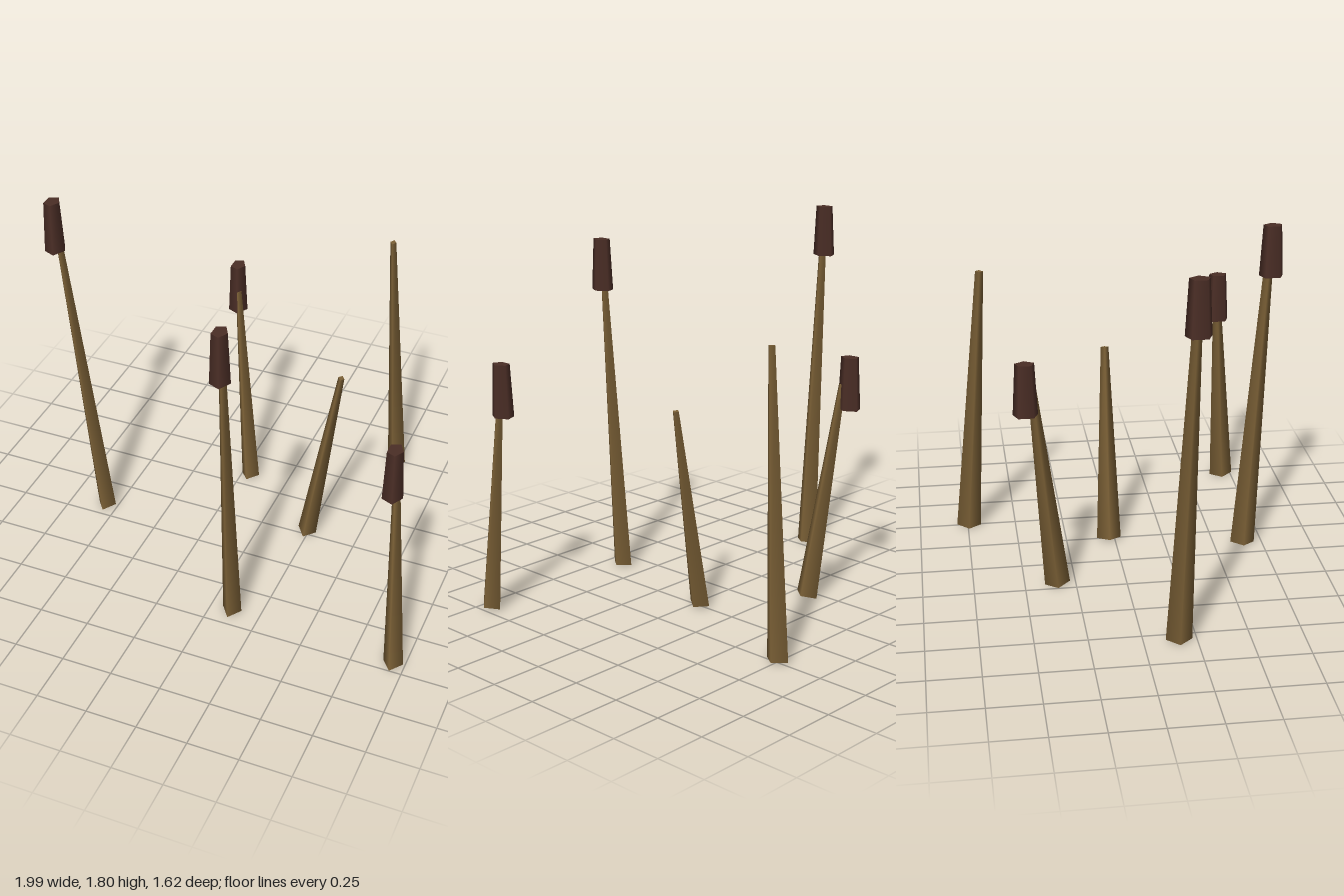
import * as THREE from 'three';

const stemMaterial = new THREE.MeshStandardMaterial({ color: 0x7b6036 });
stemMaterial.name = 'dry reed brown';
const headMaterial = new THREE.MeshStandardMaterial({ color: 0x4b2e26 });
headMaterial.name = 'dark seed brown';

const RX = 0.048, RZ = 0.062; // cross-sections are wider front to back

// base and tip are stem centre points; head is [x, z, bottom y]
const reeds = [
  { base: [-0.807, 0.008, 0.165], tip: [-0.952, 1.67, 0.2], head: [-0.962, 0.203, 1.547] },
  { base: [-0.202, 0.008, -0.34], tip: [-0.31, 1.08, -0.452], head: [-0.324, -0.485, 0.96] },
  { base: [0.108, 0.008, 0.648], tip: [0.117, 1.57, 0.742], head: [0.115, 0.753, 1.443] },
  { base: [0.944, 0.008, 0.695], tip: [0.887, 1.085, 0.638], head: [0.875, 0.64, 0.957] },
  { base: [0.24, 0.01, -0.03], tip: [0.395, 1.01, -0.03] },
  { base: [0.488, 0.008, -0.745], tip: [0.43, 1.425, -0.647] },
];

// Four-sided tapering stalk leaning from base to tip
function makeStem(base, tip) {
  const a = new THREE.Vector3(...base), b = new THREE.Vector3(...tip);
  const dir = b.clone().sub(a);
  const geometry = new THREE.CylinderGeometry(0.32, 1, dir.length(), 4);
  geometry.scale(RX, 1, RZ);
  const stem = new THREE.Mesh(geometry, stemMaterial);
  stem.name = 'stem';
  stem.position.copy(a).add(b).multiplyScalar(0.5);
  stem.quaternion.setFromUnitVectors(new THREE.Vector3(0, 1, 0), dir.normalize());
  return stem;
}

// Upright five-sided seed head
function makeHead([x, z, bottom]) {
  const height = 0.255;
  const geometry = new THREE.CylinderGeometry(0.77, 1, height, 5, 1, false, Math.PI / 2);
  geometry.scale(RX, 1, RZ);
  const head = new THREE.Mesh(geometry, headMaterial);
  head.name = 'seedHead';
  head.position.set(x, bottom + height / 2, z);
  return head;
}

export function createModel() {
  const model = new THREE.Group();
  model.name = 'reeds';
  for (const { base, tip, head } of reeds) {
    const reed = new THREE.Group();
    reed.name = head ? 'reedWithHead' : 'bareReed';
    reed.add(makeStem(base, tip));
    if (head) reed.add(makeHead(head));
    model.add(reed);
  }
  return model;
}
